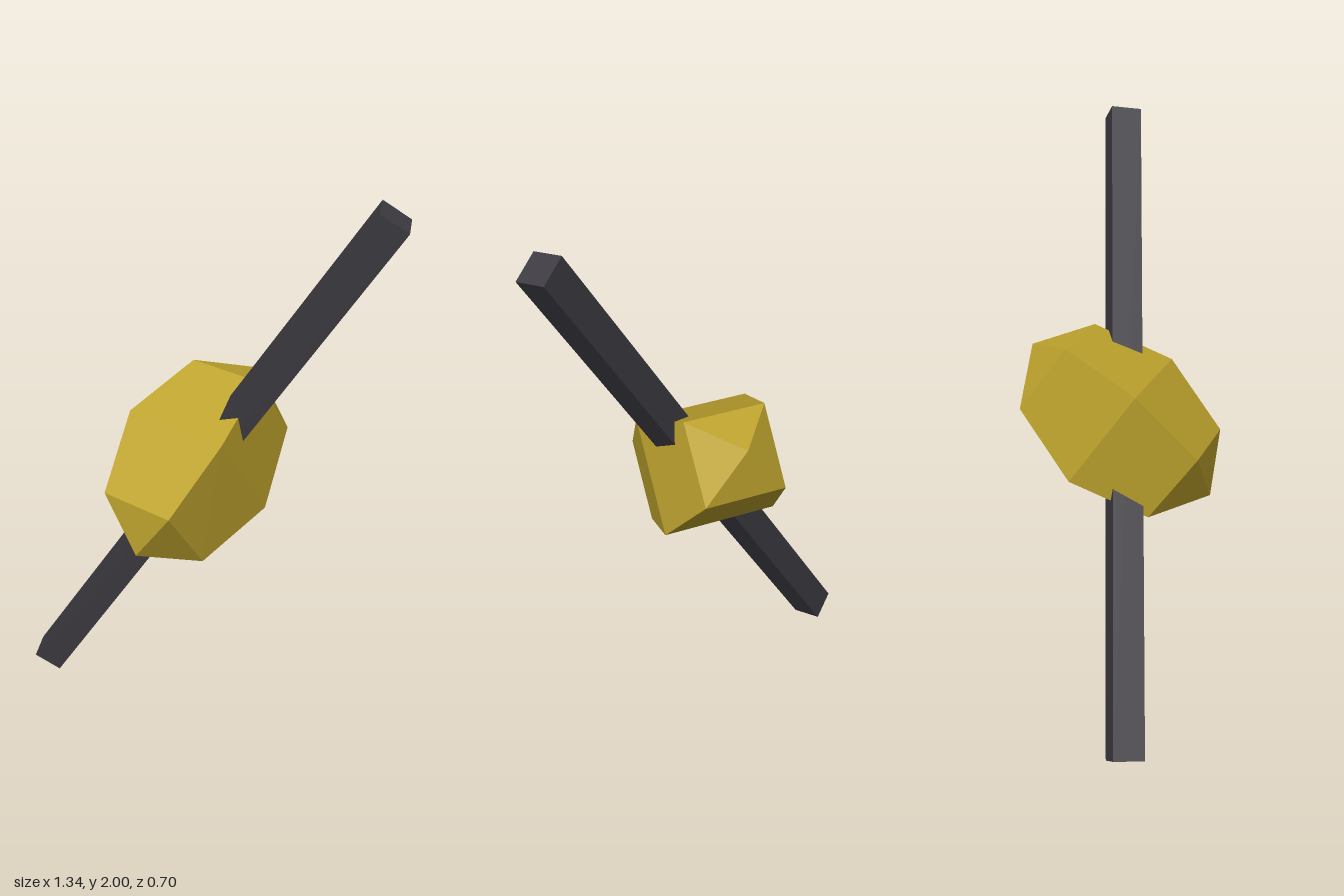
import * as THREE from 'three';
import { ConvexGeometry } from 'three/addons/geometries/ConvexGeometry.js';

export function createModel() {
  const group = new THREE.Group();
  group.name = 'nuggetOnBar';

  const gold = new THREE.MeshStandardMaterial({ color: 0xbfa42e });
  gold.name = 'gold';
  const darkMetal = new THREE.MeshStandardMaterial({ color: 0x3d3b41 });
  darkMetal.name = 'dark metal';

  // Faceted nugget: corners mirrored left to right and through the centre
  const corners = [
    [0.147, -0.053, 0.32],
    [0.208, 0.168, 0.12],
    [0.148, 0.289, -0.148],
    [0, 0.243, -0.327],
  ];
  const points = [];
  for (const [x, y, z] of corners) {
    for (const side of x ? [1, -1] : [1]) {
      points.push(new THREE.Vector3(side * x, y, z));
      points.push(new THREE.Vector3(-side * x, -y, -z));
    }
  }
  const nugget = new THREE.Mesh(new ConvexGeometry(points), gold);
  nugget.name = 'nugget';
  nugget.position.set(-0.01, 1.013, 0);
  nugget.rotation.y = -Math.PI / 6;
  group.add(nugget);

  // Square bar running diagonally through the nugget
  const top = new THREE.Vector3(0.625, 1.965, 0.135);
  const bottom = new THREE.Vector3(-0.625, 0.035, -0.11);
  const along = top.clone().sub(bottom);
  const length = along.length();
  along.normalize();
  const depth = new THREE.Vector3(0, -along.z, along.y).normalize();
  const across = along.clone().cross(depth);
  const bar = new THREE.Mesh(new THREE.BoxGeometry(0.11, length, 0.108), darkMetal);
  bar.name = 'bar';
  bar.quaternion.setFromRotationMatrix(new THREE.Matrix4().makeBasis(across, along, depth));
  bar.position.copy(top).add(bottom).multiplyScalar(0.5);
  group.add(bar);

  return group;
}
